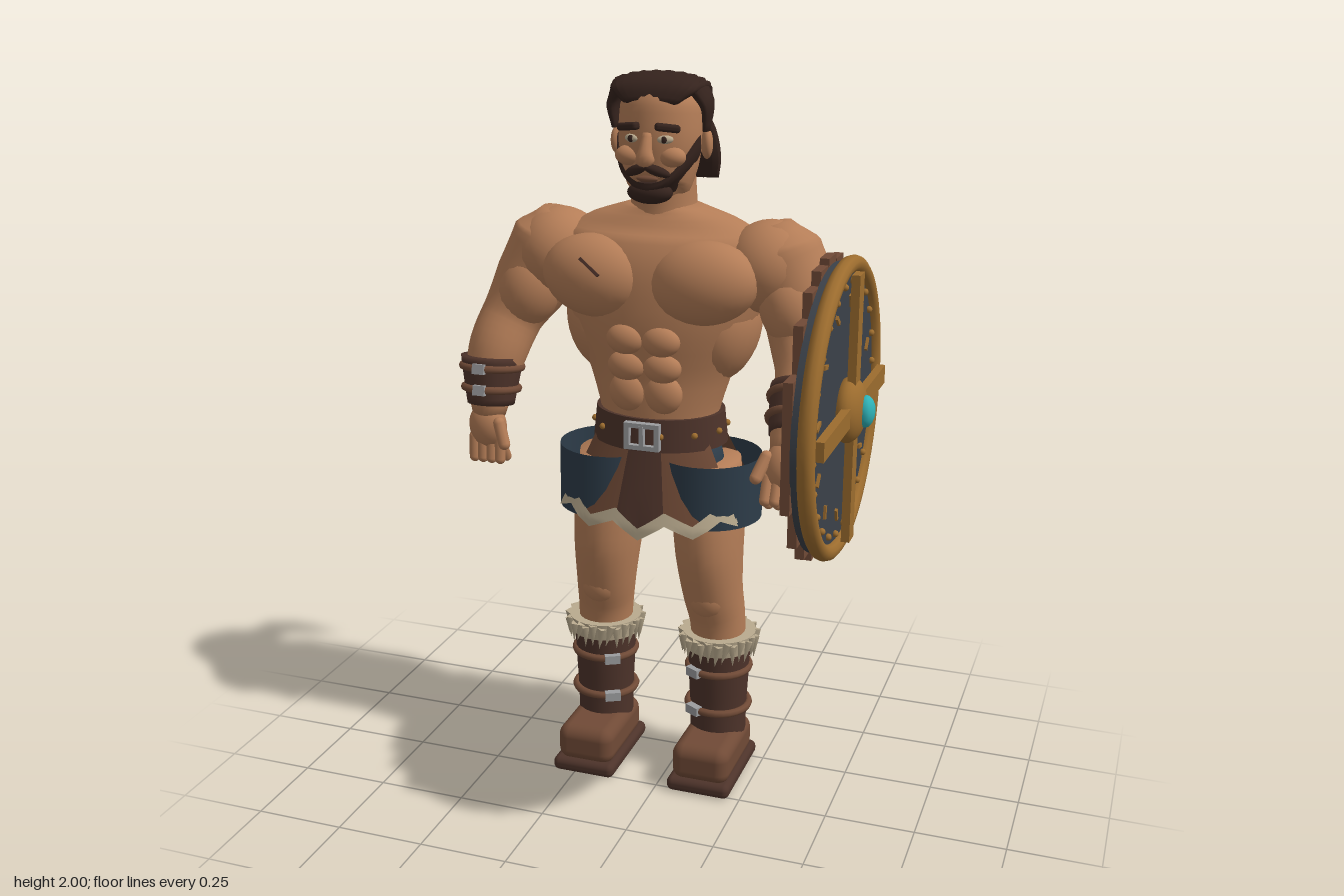
import * as THREE from 'three';
import { RoundedBoxGeometry } from 'three/addons/geometries/RoundedBoxGeometry.js';

const mat = (name, color, side = THREE.FrontSide) => {
  const m = new THREE.MeshStandardMaterial({ color, side });
  m.name = name;
  return m;
};
const D = THREE.DoubleSide;

export function createModel() {
  const skin = mat('skin', 0xb47d57), hair = mat('hair', 0x35231d, D), dark = mat('darkLeather', 0x4d332a, D),
    leather = mat('leather', 0x704a36, D), cloth = mat('blueCloth', 0x2d3c49, D), fur = mat('fur', 0xb9aa8e, D),
    gold = mat('gold', 0x9c6c2e), steel = mat('steel', 0x9b9c9e), slate = mat('slate', 0x3b4149), teal = mat('gem', 0x2fb3b8);

  const root = new THREE.Group();
  const body = new THREE.Group();
  body.name = 'body';
  body.position.x = -0.047;
  root.add(body);

  const add = (parent, name, geo, material, p = [0, 0, 0], s = [1, 1, 1], r = [0, 0, 0]) => {
    const m = new THREE.Mesh(geo, material);
    m.name = name;
    m.position.set(...p); m.scale.set(...s); m.rotation.set(...r);
    parent.add(m);
    return m;
  };
  const ball = new THREE.SphereGeometry(1, 24, 16), box = new THREE.BoxGeometry(1, 1, 1);
  const blob = (parent, name, m, p, s, r) => add(parent, name, ball, m, p, s, r);
  const block = (parent, name, m, p, s, r) => add(parent, name, box, m, p, s, r);

  // Grid surface from a rule f(u, v) -> [x, y, z]
  const grid = (nu, nv, f) => {
    const pos = [], idx = [];
    for (let j = 0; j <= nv; j++) for (let i = 0; i <= nu; i++) pos.push(...f(i / nu, j / nv));
    for (let j = 0; j < nv; j++) for (let i = 0; i < nu; i++) {
      const a = j * (nu + 1) + i, d = a + nu + 1;
      idx.push(a, a + 1, d + 1, a, d + 1, d);
    }
    const g = new THREE.BufferGeometry();
    g.setAttribute('position', new THREE.Float32BufferAttribute(pos, 3));
    g.setIndex(idx);
    g.computeVertexNormals();
    return g;
  };

  // Smooth closed loft through sections [x, y, z, radiusX, radiusZ]; ridge adds grooves for hair
  const loft = (secs, n = 24, ridge = 0) => {
    const path = new THREE.CatmullRomCurve3(secs.map(s => new THREE.Vector3(s[0], s[1], s[2])));
    const size = new THREE.CatmullRomCurve3(secs.map(s => new THREE.Vector3(s[3], s[4] ?? s[3], 0)));
    const rows = (secs.length - 1) * 4, pos = [], idx = [];
    for (let i = 0; i <= rows; i++) {
      const c = path.getPoint(i / rows), r = size.getPoint(i / rows), t = path.getTangent(i / rows);
      const u = new THREE.Vector3(1, 0, 0).addScaledVector(t, -t.x).normalize();
      const v = t.clone().cross(u);
      for (let j = 0; j < n; j++) {
        const a = j / n * Math.PI * 2, k = 1 - (j % 2) * ridge;
        const p = c.clone().addScaledVector(u, Math.cos(a) * r.x * k).addScaledVector(v, Math.sin(a) * r.y * k);
        pos.push(p.x, p.y, p.z);
        if (i < rows) {
          const b = i * n + (j + 1) % n, q = i * n + j;
          idx.push(q, b, b + n, q, b + n, q + n);
        }
      }
    }
    const c0 = pos.length / 3, last = rows * n;
    pos.push(...secs[0].slice(0, 3), ...secs[secs.length - 1].slice(0, 3));
    for (let j = 0; j < n; j++) idx.push(c0, (j + 1) % n, j, c0 + 1, last + j, last + (j + 1) % n);
    const g = new THREE.BufferGeometry();
    g.setAttribute('position', new THREE.Float32BufferAttribute(pos, 3));
    g.setIndex(idx);
    g.computeVertexNormals();
    return g;
  };
  const ring = (r, t) => new THREE.TorusGeometry(r, t, 8, 28).rotateX(Math.PI / 2);

  // Torso
  add(body, 'torso', loft([[0, 0.9, -0.17, 0.15, 0.12], [0, 1.08, -0.17, 0.165, 0.13], [0, 1.2, -0.175, 0.2, 0.14], [0, 1.35, -0.18, 0.265, 0.165],
    [0, 1.48, -0.19, 0.3, 0.165], [0, 1.57, -0.2, 0.28, 0.14], [0, 1.62, -0.2, 0.2, 0.1], [0, 1.655, -0.2, 0.09, 0.08]], 32), skin);
  for (const s of [-1, 1]) {
    blob(body, 'pectoral', skin, [s * 0.148, 1.468, -0.08], [0.152, 0.112, 0.1], [0, 0, s * 0.12]);
    blob(body, 'shoulderBlade', skin, [s * 0.15, 1.43, -0.27], [0.12, 0.15, 0.085], [0, 0, s * 0.15]);
    blob(body, 'flank', skin, [s * 0.17, 1.32, -0.2], [0.1, 0.15, 0.13], [0, 0, -s * 0.25]);
    for (let i = 0; i < 3; i++) blob(body, 'abdominal', skin, [s * 0.05, 1.165 + i * 0.075, -0.05 + i * 0.01], [0.053, i ? 0.042 : 0.055, 0.035]);
  }
  block(body, 'scar', dark, [-0.135, 1.51, 0.012], [0.07, 0.008, 0.008], [-0.3, 0, -0.65]);
  add(body, 'neck', loft([[0, 1.56, -0.2, 0.11, 0.1], [0, 1.64, -0.2, 0.09, 0.09], [0, 1.76, -0.19, 0.085, 0.085]]), skin);

  // Head and face
  const head = new THREE.Group();
  head.name = 'head';
  body.add(head);
  add(head, 'skull', loft([[0, 1.675, -0.13, 0.045, 0.05], [0, 1.7, -0.15, 0.083, 0.08], [0, 1.76, -0.165, 0.102, 0.1], [0, 1.84, -0.17, 0.112, 0.11],
    [0, 1.91, -0.175, 0.108, 0.108], [0, 1.955, -0.18, 0.08, 0.085], [0, 1.975, -0.18, 0.03, 0.03]], 28), skin);
  add(head, 'nose', loft([[0, 1.85, -0.065, 0.012, 0.012], [0, 1.81, -0.05, 0.018, 0.018], [0, 1.785, -0.046, 0.026, 0.02], [0, 1.775, -0.055, 0.012, 0.012]], 12), skin);
  for (const s of [-1, 1]) {
    blob(head, 'ear', skin, [s * 0.122, 1.815, -0.185], [0.016, 0.04, 0.028], [0, s * 0.4, 0]);
    blob(head, 'cheek', skin, [s * 0.06, 1.79, -0.088], [0.036, 0.026, 0.028]);
    blob(head, 'eye', fur, [s * 0.046, 1.836, -0.072], [0.021, 0.011, 0.01], [0, s * 0.4, 0]);
    blob(head, 'pupil', hair, [s * 0.045, 1.836, -0.063], [0.008, 0.009, 0.004]);
    add(head, 'brow', new RoundedBoxGeometry(0.066, 0.02, 0.026, 2, 0.008), hair, [s * 0.053, 1.866, -0.068], [1, 1, 1], [0, s * 0.4, -s * 0.12]);
    blob(head, 'moustache', hair, [s * 0.028, 1.758, -0.056], [0.038, 0.013, 0.016], [0, s * 0.4, -s * 0.35]);
    // Shaved side and loose locks
    add(head, 'sideHair', grid(8, 4, (u, v) => {
      const a = -0.15 + u * 1.35, y = 1.81 + 0.05 * (1 - u) + v * (0.11 - 0.05 * (1 - u));
      return [s * 0.121 * Math.cos(a), y, -0.174 - 0.119 * Math.sin(a)];
    }), hair);
    add(head, 'sideLock', loft([[s * 0.1, 1.97, -0.15, 0.02, 0.04], [s * 0.128, 1.92, -0.165, 0.017, 0.04], [s * 0.125, 1.85, -0.17, 0.01, 0.02]], 12, 0.15), hair);
  }
  blob(head, 'lip', leather, [0, 1.735, -0.064], [0.03, 0.008, 0.01]);
  add(head, 'beard', grid(24, 6, (u, v) => {
    const a = (u - 0.5) * 3.1, k = Math.abs(Math.sin(a)), b = 1.672 + 0.03 * k, top = 1.725 + 0.115 * k ** 2.5;
    const r = 0.07 + 0.043 * Math.min(1, v * 1.5);
    return [Math.sin(a) * r, b + (top - b) * v, -0.165 + Math.cos(a) * r];
  }), hair);
  blob(head, 'chinBeard', hair, [0, 1.697, -0.085], [0.062, 0.03, 0.035]);

  // Swept-back hair and ponytail
  add(head, 'topHair', loft([[0, 1.925, -0.085, 0.075, 0.012], [0, 1.955, -0.11, 0.118, 0.026], [0, 1.965, -0.18, 0.13, 0.034], [0, 1.94, -0.25, 0.115, 0.035],
    [0, 1.905, -0.295, 0.07, 0.03], [0, 1.885, -0.315, 0.04, 0.025]], 44, 0.07), hair);
  add(head, 'backHair', loft([[0, 1.94, -0.22, 0.09, 0.05], [0, 1.87, -0.25, 0.09, 0.04], [0, 1.81, -0.255, 0.07, 0.025]], 28, 0.06), hair);
  add(head, 'hairTie', new THREE.TorusGeometry(0.034, 0.012, 8, 18), dark, [0, 1.885, -0.315], [1.2, 0.9, 1], [-0.5, 0, 0]);
  add(head, 'ponytail', loft([[0, 1.89, -0.305, 0.035, 0.02], [0, 1.875, -0.345, 0.06, 0.032], [0, 1.82, -0.39, 0.085, 0.034], [0, 1.75, -0.405, 0.094, 0.024],
    [0, 1.69, -0.415, 0.085, 0.008]], 36, 0.12), hair);

  // Arms: the right one hangs, the left one bends forward to the shield
  const hand = (s, p, rx) => {
    const h = new THREE.Group();
    h.name = s < 0 ? 'rightHand' : 'leftHand';
    h.position.set(...p);
    h.rotation.x = rx;
    body.add(h);
    blob(h, 'palm', skin, [0, 0, 0], [0.055, 0.065, 0.042]);
    for (let i = 0; i < 4; i++) {
      const x = -0.039 + i * 0.026;
      add(h, 'finger', new THREE.CapsuleGeometry(0.0155, 0.06, 4, 10), skin, [x, -0.063, 0.012], [1, 1, 1], [-0.1, 0, 0]);
      add(h, 'fingertip', new THREE.CapsuleGeometry(0.0145, 0.035, 4, 10), skin, [x, -0.085, -0.018], [1, 1, 1], [0.5, 0, 0]);
    }
    add(h, 'thumb', new THREE.CapsuleGeometry(0.017, 0.06, 4, 10), skin, [-s * 0.055, -0.01, 0.03], [1, 1, 1], [-0.2, 0, -s * 0.3]);
  };
  for (const s of [-1, 1]) {
    const fore = s < 0
      ? [[0.455, 1.24, -0.11, 0.084], [0.47, 1.15, -0.085, 0.072], [0.475, 1.05, -0.07, 0.046]]
      : [[0.425, 1.25, -0.1, 0.08], [0.43, 1.16, -0.02, 0.074], [0.425, 1.07, 0.06, 0.048]];
    const upper = [[0.3, 1.615, -0.2, 0.05], [0.318, 1.54, -0.2, 0.115], [0.378, 1.42, -0.185, 0.108], [s < 0 ? 0.43 : 0.4, 1.32, -0.15, 0.086]];
    add(body, s < 0 ? 'rightArm' : 'leftArm', loft([...upper, ...fore].map(([x, ...q]) => [s * x, ...q])), skin);
    blob(body, 'deltoid', skin, [s * 0.3, 1.5, -0.195], [0.125, 0.125, 0.13], [0, 0, s * 0.4]);
    blob(body, 'biceps', skin, [s * 0.375, 1.4, -0.15], [0.088, 0.115, 0.09], [0, 0, s * 0.4]);
    const b = new THREE.Group();
    b.name = s < 0 ? 'rightBracer' : 'leftBracer';
    b.position.set(s * fore[1][0], fore[1][1], fore[1][2]);
    b.rotation.x = s < 0 ? -0.15 : -0.75;
    body.add(b);
    add(b, 'cuff', loft([[0, -0.07, 0, 0.066], [0, 0, 0, 0.078], [0, 0.065, 0, 0.088]]), dark);
    for (const y of [-0.025, 0.035]) {
      add(b, 'bracerStrap', ring(0.078 + y * 0.12, 0.011), leather, [0, y, 0]);
      block(b, 'bracerBuckle', steel, [0, y, 0.085 + y * 0.12], [0.035, 0.028, 0.014]);
    }
    if (s < 0) hand(s, [-0.475, 1.02, -0.06], 0.05);
    else hand(s, [0.425, 1.05, 0.085], -0.35);
  }

  // Belt and buckle
  add(body, 'belt', new THREE.CylinderGeometry(0.98, 1.03, 0.09, 36), dark, [0, 1.05, -0.175], [0.185, 1, 0.148]);
  for (let i = 0; i < 12; i++) {
    const a = (i + 0.5) / 12 * Math.PI * 2;
    blob(body, 'beltStud', gold, [0.187 * Math.sin(a), 1.05, -0.175 + 0.15 * Math.cos(a)], [0.009, 0.009, 0.009]);
  }
  for (const s of [-1, 1]) {
    block(body, 'buckleSide', steel, [s * 0.043, 1.05, -0.02], [0.014, 0.075, 0.02]);
    block(body, 'buckleBar', steel, [0, 1.05 + s * 0.031, -0.02], [0.1, 0.013, 0.02]);
  }
  block(body, 'bucklePin', steel, [0, 1.05, -0.018], [0.012, 0.06, 0.02]);

  // Kilt: blue hip cloth, leather panels and a zigzag fur hem
  for (const s of [-1, 1]) add(body, 'hipCloth', new THREE.CylinderGeometry(0.148, 0.15, 0.18, 28, 1, true), cloth, [s * 0.142, 0.885, -0.17], [1, 1, 0.98]);
  add(body, 'breeches', loft([[0, 0.79, -0.17, 0.1, 0.09], [0, 0.86, -0.17, 0.2, 0.135], [0, 1.0, -0.175, 0.17, 0.13]]), cloth);
  const tri = t => Math.abs((((t % 2) + 2) % 2) - 1);
  const hem = a => 0.785 + 0.04 * tri(a * 3.5 + 1) + 0.025 * Math.abs(a);
  for (const f of [1, -1]) {
    const point = (a, y, out) => {
      const t = Math.min(1, (1.02 - y) / 0.22), rz = 0.125 + (f > 0 ? 0.055 : 0.075) * t + out;
      return [a * (0.165 + 0.1 * t), y, -0.175 + f * rz * Math.sqrt(1 - 0.66 * a * a)];
    };
    const panel = (name, m, w, top, low, out) => add(body, name, grid(42, 4, (u, v) => {
      const a = (u * 2 - 1) * w, y0 = top(a), y1 = low(a);
      return point(a, y0 + (y1 - y0) * v, out);
    }), m);
    panel('kiltPanel', leather, 1, () => 1.02, hem, 0);
    panel('centrePanel', dark, 0.27, () => 1.02, a => hem(a) - 0.01, 0.009);
    panel('furHem', fur, 1, a => hem(a) + 0.013, a => hem(a) - 0.022, 0.016);
    panel('furHemBack', fur, 1, a => hem(a) + 0.008, a => hem(a) - 0.016, 0.003);
  }

  // Legs and boots
  for (const s of [-1, 1]) {
    const leg = new THREE.Group();
    leg.name = s < 0 ? 'rightLeg' : 'leftLeg';
    body.add(leg);
    add(leg, 'leg', loft([[0.13, 0.95, -0.17, 0.1, 0.125], [0.145, 0.8, -0.165, 0.1, 0.13], [0.152, 0.69, -0.155, 0.094, 0.118], [0.16, 0.58, -0.16, 0.086, 0.094],
      [0.17, 0.48, -0.18, 0.08, 0.082], [0.175, 0.36, -0.185, 0.075, 0.075]].map(([x, ...q]) => [s * x, ...q])), skin);
    blob(leg, 'knee', skin, [s * 0.162, 0.56, -0.12], [0.06, 0.065, 0.052]);
    const boot = new THREE.Group();
    boot.name = 'boot';
    boot.position.set(s * 0.175, 0, -0.185);
    leg.add(boot);
    add(boot, 'shaft', loft([[0, 0.08, 0, 0.08, 0.08], [0, 0.2, 0, 0.082, 0.08], [0, 0.3, 0, 0.087, 0.085], [0, 0.41, 0, 0.092, 0.09]]), dark);
    add(boot, 'foot', new RoundedBoxGeometry(0.168, 0.11, 0.275, 4, 0.035), leather, [0, 0.085, 0.056]);
    add(boot, 'sole', new RoundedBoxGeometry(0.186, 0.042, 0.305, 3, 0.018), dark, [0, 0.021, 0.053]);
    block(boot, 'heelFlap', dark, [0, 0.125, -0.092], [0.07, 0.12, 0.016], [0.22, 0, 0]);
    for (const y of [0.205, 0.325]) {
      add(boot, 'bootStrap', ring(0.088, 0.011), leather, [0, y, 0]);
      block(boot, 'bootBuckle', steel, [-s * 0.05, y, 0.078], [0.045, 0.026, 0.022], [0, -s * 0.5, 0]);
    }
    add(boot, 'furCuff', new THREE.CylinderGeometry(0.106, 0.098, 0.05, 28), fur, [0, 0.412, 0]);
    for (let i = 0; i < 28; i++) {
      const a = i / 28 * Math.PI * 2;
      add(boot, 'furTuft', new THREE.ConeGeometry(0.014, 0.065, 4), fur, [0.105 * Math.sin(a), 0.403 - (i % 2) * 0.008, 0.105 * Math.cos(a)], [1, 1, 1], [Math.PI, -a, i % 3 * 0.15]);
    }
  }

  // Round shield facing the left side
  const shield = new THREE.Group();
  shield.name = 'shield';
  shield.position.set(0.5, 1.2, 0.03);
  shield.rotation.y = Math.PI / 2;
  root.add(shield);
  add(shield, 'face', new THREE.CylinderGeometry(0.37, 0.37, 0.04, 56).rotateX(Math.PI / 2), slate, [0, 0, -0.012]);
  add(shield, 'rim', new THREE.TorusGeometry(0.366, 0.022, 10, 64), gold, [0, 0, 0.006]);
  for (let i = 0; i < 9; i++) {
    const x = (i - 4) * 0.081, h = 2 * Math.sqrt(0.39 ** 2 - (Math.abs(x) + 0.03) ** 2);
    block(shield, 'backPlank', leather, [x, 0, -0.043], [0.074, h, 0.024]);
  }
  for (const r of [0, Math.PI / 2]) block(shield, 'crossBar', gold, [0, 0, 0.034], [0.05, 0.7, 0.022], [0, 0, r]);
  blob(shield, 'boss', gold, [0, 0, 0.025], [0.085, 0.085, 0.045]);
  add(shield, 'gem', new THREE.SphereGeometry(1, 10, 8), teal, [0, 0, 0.068], [0.034, 0.042, 0.024]);
  for (let i = 0; i < 24; i++) {
    const a = (i + 0.5) / 24 * Math.PI * 2, c = Math.cos(a), d = Math.sin(a);
    blob(shield, 'rimRivet', gold, [0.325 * c, 0.325 * d, 0.012], [0.009, 0.009, 0.009]);
    if (i % 2) block(shield, 'inlay', gold, [0.275 * c, 0.275 * d, 0.01], [0.034, 0.011, 0.009], [0, 0, a + 0.5]);
  }
  // Grip behind the shield
  for (const y of [-0.11, 0.06]) block(shield, 'gripStrap', dark, [0.02 + y * 0.4, y, -0.068], [0.05, 0.09, 0.04]);
  return root;
}
